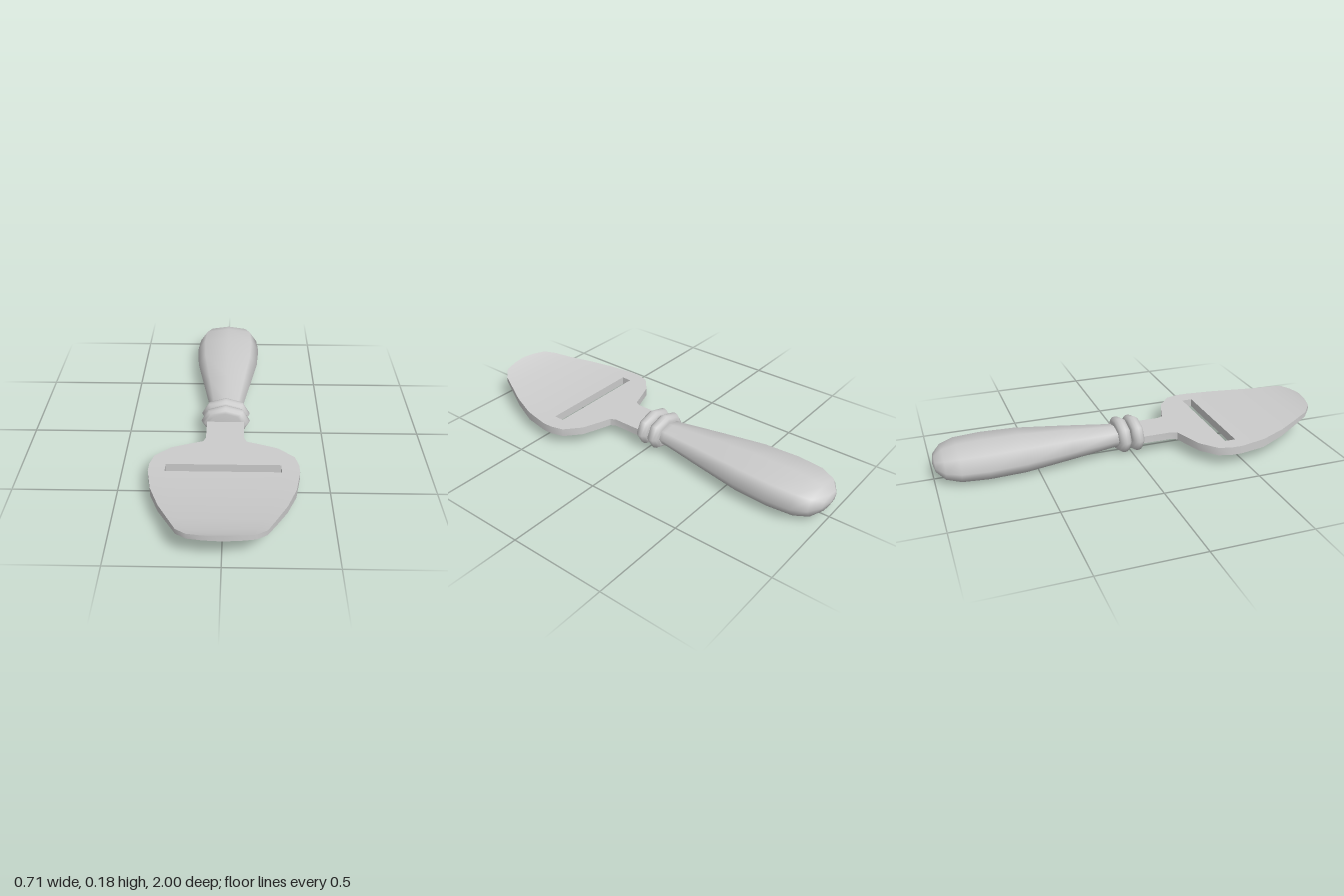
import * as THREE from 'three';
import { mergeVertices, toCreasedNormals } from 'three/addons/utils/BufferGeometryUtils.js';

const AXIS_Y = 0.0915;
const material = new THREE.MeshStandardMaterial({ color: 0xcccccc });

// Eight-sided turned part along z; profile is [radius, z], squash(z) gives height / width
function turned(name, profile, squash, fullness = 1) {
  const points = profile.map(([r, z]) => new THREE.Vector2(r, z));
  let geo = new THREE.LatheGeometry(points, 8);
  geo.rotateX(Math.PI / 2);
  const pos = geo.attributes.position;
  for (let i = 0; i < pos.count; i++) {
    const x = pos.getX(i), y = pos.getY(i), z = pos.getZ(i);
    const diagonal = Math.min(Math.abs(x), Math.abs(y)) > 0.4 * Math.hypot(x, y);
    const k = diagonal ? fullness : 1;
    pos.setXYZ(i, x * k, AXIS_Y + y * k * squash(z), z);
  }
  geo.deleteAttribute('normal');
  geo.deleteAttribute('uv');
  geo = mergeVertices(geo, 1e-5);
  geo.computeVertexNormals();
  const mesh = new THREE.Mesh(geo, material);
  mesh.name = name;
  return mesh;
}

// Blade and neck: rows of [z, half width, bottom y, top y], with a slot left open
function blade() {
  const rows = [
    [0.02, 0.095, 0.066, 0.104], [0.2, 0.095, 0.066, 0.104], [0.23, 0.108, 0.065, 0.104],
    [0.255, 0.18, 0.064, 0.104], [0.285, 0.26, 0.063, 0.104], [0.355, 0.337, 0.062, 0.103],
    [0.42, 0.354, 0.061, 0.103], [0.475, 0.355, 0.061, 0.103], [0.61, 0.331, 0.062, 0.108],
    [0.74, 0.284, 0.082, 0.12], [0.85, 0.23, 0.104, 0.135], [0.93, 0.192, 0.124, 0.15],
    [0.975, 0.145, 0.139, 0.165], [0.993, 0.075, 0.146, 0.172], [1, 0.01, 0.149, 0.176],
  ];
  const slotRow = 6;
  const verts = [];
  const quad = (a, b, c, d) => verts.push(...a, ...b, ...c, ...a, ...c, ...d);
  const point = (i, j, top) => {
    const [z, w, low, high] = rows[i];
    const x = [-w, Math.max(-0.285, -0.78 * w), Math.min(0.27, 0.78 * w), w][j];
    return [x, top ? high : low, z];
  };
  const solid = (i, j) => i >= 0 && j >= 0 && i < rows.length - 1 && j < 3 && !(i === slotRow && j === 1);
  for (let i = 0; i < rows.length - 1; i++) {
    for (let j = 0; j < 3; j++) {
      if (!solid(i, j)) continue;
      const ring = [[i, j], [i + 1, j], [i + 1, j + 1], [i, j + 1]];
      const next = [[i, j - 1], [i + 1, j], [i, j + 1], [i - 1, j]];
      quad(...ring.map(([a, b]) => point(a, b, true)));
      quad(...ring.map(([a, b]) => point(a, b, false)).reverse());
      // Rim and slot walls, wherever there is no neighbouring cell
      ring.forEach((p, k) => {
        if (solid(...next[k])) return;
        const q = ring[(k + 1) % 4];
        quad(point(...p, true), point(...p, false), point(...q, false), point(...q, true));
      });
    }
  }
  const geo = new THREE.BufferGeometry();
  geo.setAttribute('position', new THREE.Float32BufferAttribute(verts, 3));
  const mesh = new THREE.Mesh(toCreasedNormals(geo, 0.8), material);
  mesh.name = 'slottedBlade';
  return mesh;
}

export function createModel() {
  const group = new THREE.Group();
  group.name = 'cheeseSlicer';
  group.add(blade());

  // Two rounded collars
  for (const [name, z] of [['frontCollar', 0.0225], ['rearCollar', -0.0475]]) {
    const profile = [[0, -0.032], [0.085, -0.032], [0.108, -0.027], [0.121, -0.014], [0.125, 0],
      [0.121, 0.014], [0.108, 0.027], [0.085, 0.032], [0, 0.032]];
    group.add(turned(name, profile.map(([r, dz]) => [r, z + dz]), () => 0.7));
  }

  // Flattened grip, swelling towards the rounded end
  const grip = [[0, -1], [0.07, -0.99], [0.135, -0.95], [0.17, -0.88], [0.181, -0.75],
    [0.169, -0.57], [0.126, -0.33], [0.085, -0.1], [0.085, -0.04], [0, -0.04]];
  const gripSquash = (z) => THREE.MathUtils.mapLinear(Math.max(z, -0.75), -0.75, -0.1, 0.46, 0.57);
  group.add(turned('handle', grip, gripSquash, 1.07));
  return group;
}
